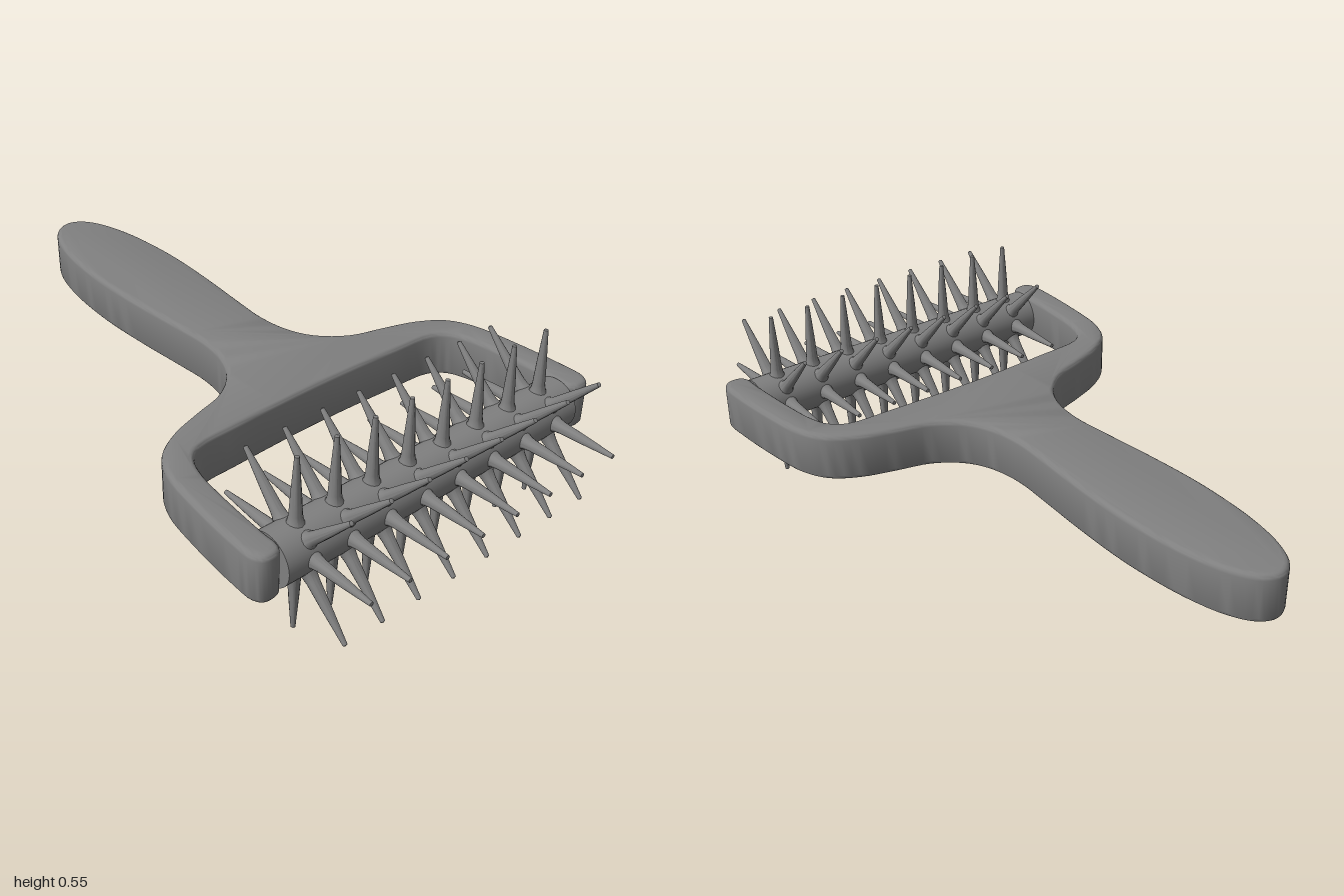
import * as THREE from 'three';
import { toCreasedNormals } from 'three/addons/utils/BufferGeometryUtils.js';

const AXIS_Y = 0.277, AXIS_Z = 0.725;

// Right half of the handle outline as [x, z], from the grip end round to the inside of the fork
const HALF = [
  [0, -1], [0.05, -0.978], [0.093, -0.91], [0.125, -0.79], [0.14, -0.65], [0.143, -0.53],
  [0.135, -0.36], [0.122, -0.2], [0.115, -0.08], [0.13, 0.02], [0.17, 0.1], [0.25, 0.165],
  [0.36, 0.2], [0.46, 0.235], [0.54, 0.29], [0.583, 0.37], [0.605, 0.5], [0.62, 0.69],
  [0.618, 0.755], [0.598, 0.782], [0.555, 0.782], [0.537, 0.76],
  [0.535, 0.7], [0.52, 0.5], [0.508, 0.42], [0.485, 0.36], [0.44, 0.326], [0.3, 0.315], [0, 0.306],
];

function handleGeometry() {
  const mirrored = HALF.slice(1, -1).reverse().map(([x, z]) => [-x, z]);
  const points = [...HALF, ...mirrored].map(([x, z]) => new THREE.Vector3(x, -z, 0));
  const outline = new THREE.CatmullRomCurve3(points, true, 'centripetal').getPoints(224);
  outline.pop();
  const shape = new THREE.Shape(outline.map((p) => new THREE.Vector2(p.x, p.y)));
  const bevel = 0.016;
  const geometry = new THREE.ExtrudeGeometry(shape, {
    depth: 0.15 - 2 * bevel, bevelEnabled: true, bevelSize: bevel,
    bevelThickness: bevel, bevelOffset: -bevel, bevelSegments: 4,
  });
  geometry.rotateX(-Math.PI / 2);
  geometry.translate(0, 0.204 + bevel, 0);
  return toCreasedNormals(geometry, 0.7);
}

export function createModel() {
  const model = new THREE.Group();
  const grey = new THREE.MeshStandardMaterial({ color: 0x808080 });
  grey.name = 'grey';

  // Grip and fork in one piece
  const handle = new THREE.Mesh(handleGeometry(), grey);
  handle.name = 'handle';
  model.add(handle);

  // Roller drum between the fork arms
  const roller = new THREE.Group();
  roller.name = 'roller';
  roller.position.set(0, AXIS_Y, AXIS_Z);
  const drumGeometry = new THREE.CylinderGeometry(0.077, 0.077, 1.075, 40);
  drumGeometry.rotateZ(Math.PI / 2);
  const drum = new THREE.Mesh(drumGeometry, grey);
  drum.name = 'drum';
  roller.add(drum);

  // Tapered spikes with a flared foot, eight rings of eight
  const profile = [[0.027, 0.068], [0.021, 0.082], [0.018, 0.1], [0.014, 0.17], [0.0065, 0.274], [0, 0.277]];
  const spikeGeometry = toCreasedNormals(
    new THREE.LatheGeometry(profile.map(([r, y]) => new THREE.Vector2(r, y)), 14), 0.8);
  for (let i = 0; i < 8; i++) {
    const ring = new THREE.Group();
    ring.name = 'spikeRing';
    ring.position.x = (i - 3.5) * 0.1293;
    for (let k = 0; k < 8; k++) {
      const spike = new THREE.Mesh(spikeGeometry, grey);
      spike.name = 'spike';
      spike.rotation.x = (k * Math.PI) / 4;
      ring.add(spike);
    }
    roller.add(ring);
  }
  model.add(roller);
  return model;
}
